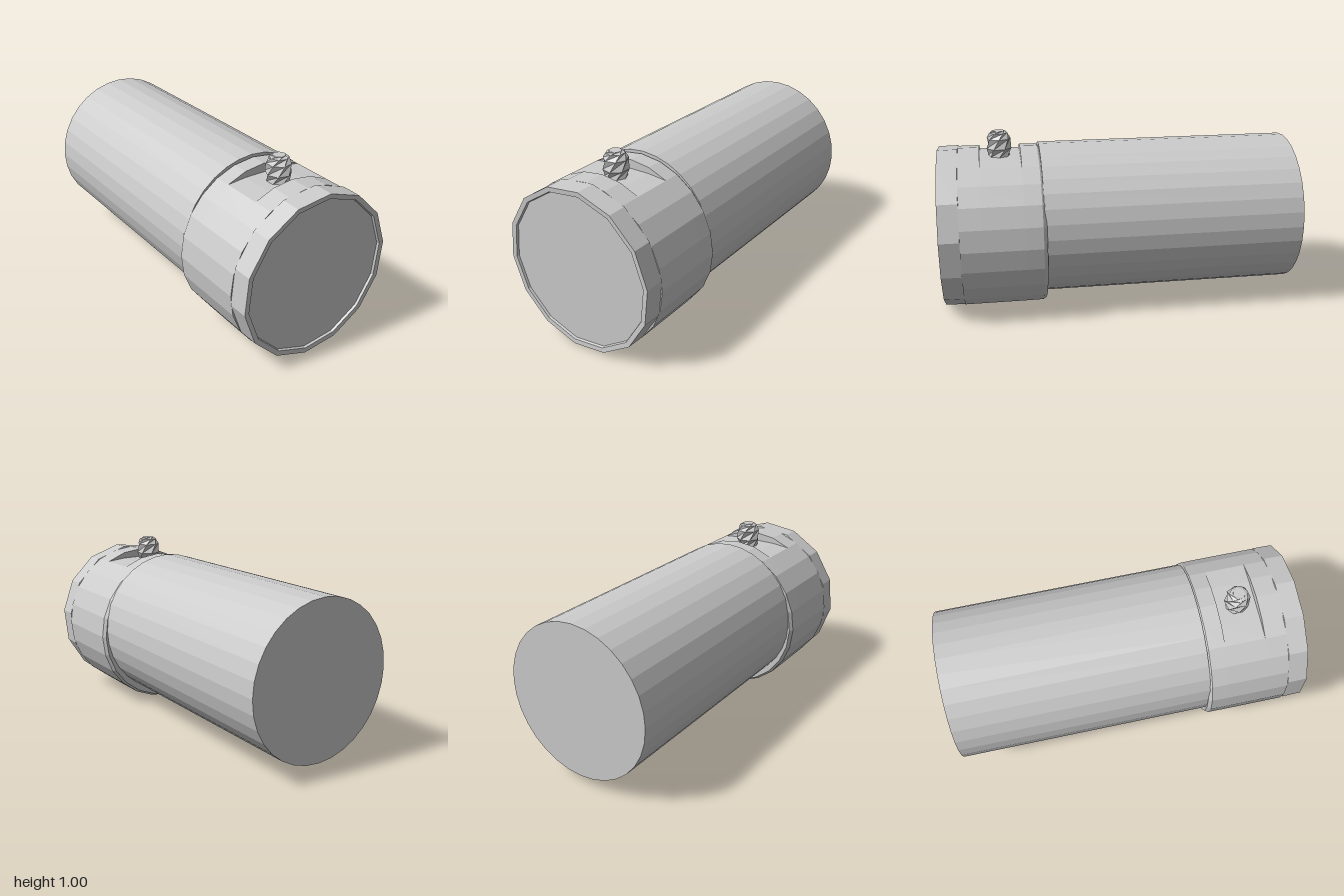
import * as THREE from 'three';

const grey = () => new THREE.MeshStandardMaterial({ color: 0xcccccc, flatShading: true });

// Faceted skin through polygon sections stacked along +z.
// Each section: { z, r, cy (centre height), turn (rotation), maxY (flat cut) }
function loft(name, sides, sections) {
  const point = (s, i) => {
    const a = ((i % sides) / sides) * Math.PI * 2 + (s.turn || 0);
    const y = (s.cy || 0) + s.r * Math.sin(a);
    return [s.r * Math.cos(a), Math.min(y, s.maxY ?? Infinity), s.z];
  };
  const pos = [];
  for (let k = 0; k < sections.length - 1; k++) {
    const a = sections[k], b = sections[k + 1];
    for (let i = 0; i < sides; i++) {
      if (a.r > 0) pos.push(...point(a, i), ...point(a, i + 1), ...point(b, i + 1));
      if (b.r > 0) pos.push(...point(a, i), ...point(b, i + 1), ...point(b, i));
    }
  }
  const g = new THREE.BufferGeometry();
  g.setAttribute('position', new THREE.Float32BufferAttribute(pos, 3));
  g.computeVertexNormals();
  const mesh = new THREE.Mesh(g, grey());
  mesh.name = name;
  return mesh;
}

export function createModel() {
  const model = new THREE.Group();
  model.name = 'cylinderWithCollar';

  // Long main barrel
  const barrel = new THREE.Mesh(new THREE.CylinderGeometry(0.43, 0.43, 1.44, 32), grey());
  barrel.name = 'barrel';
  barrel.rotation.x = Math.PI / 2;
  barrel.position.set(0, 0.49, -0.28);
  model.add(barrel);

  // Wider collar, with a flat recess cut across its top
  const cy = 0.455, floor = 0.86;
  const collar = [
    [0.43, 0], [0.43, 0.44], [0.45, 0.454], [0.545, 0.455],
    [0.545, 0.455, floor], [0.77, 0.455, floor],
    [0.77, 0.455], [0.89, 0.455], [0.89, 0],
  ].map(([z, r, maxY]) => ({ z, r, cy, maxY }));
  model.add(loft('collar', 24, collar));

  // Coarse front rim and its slightly sunken end plate
  const turn = 0.12;
  const rim = [
    [0.885, 0.44], [0.89, 0.457], [1, 0.455], [0.998, 0.428], [0.985, 0.424],
  ].map(([z, r]) => ({ z, r, cy: 0.46, turn }));
  model.add(loft('frontRim', 14, rim));
  model.add(loft('endPlate', 14, [
    { z: 0.985, r: 0.425, cy: 0.46, turn },
    { z: 0.985, r: 0, cy: 0.46, turn },
  ]));

  // Faceted button standing in the recess; rings twist by half a facet
  const button = loft('button', 7, [
    [0, 0.06], [0.045, 0.07], [0.1, 0.067], [0.132, 0.052], [0.142, 0.035], [0.142, 0],
  ].map(([z, r], i) => ({ z, r, turn: (i * Math.PI) / 7 })));
  button.rotation.x = -Math.PI / 2;
  button.position.set(0, floor, 0.66);
  model.add(button);

  return model;
}
